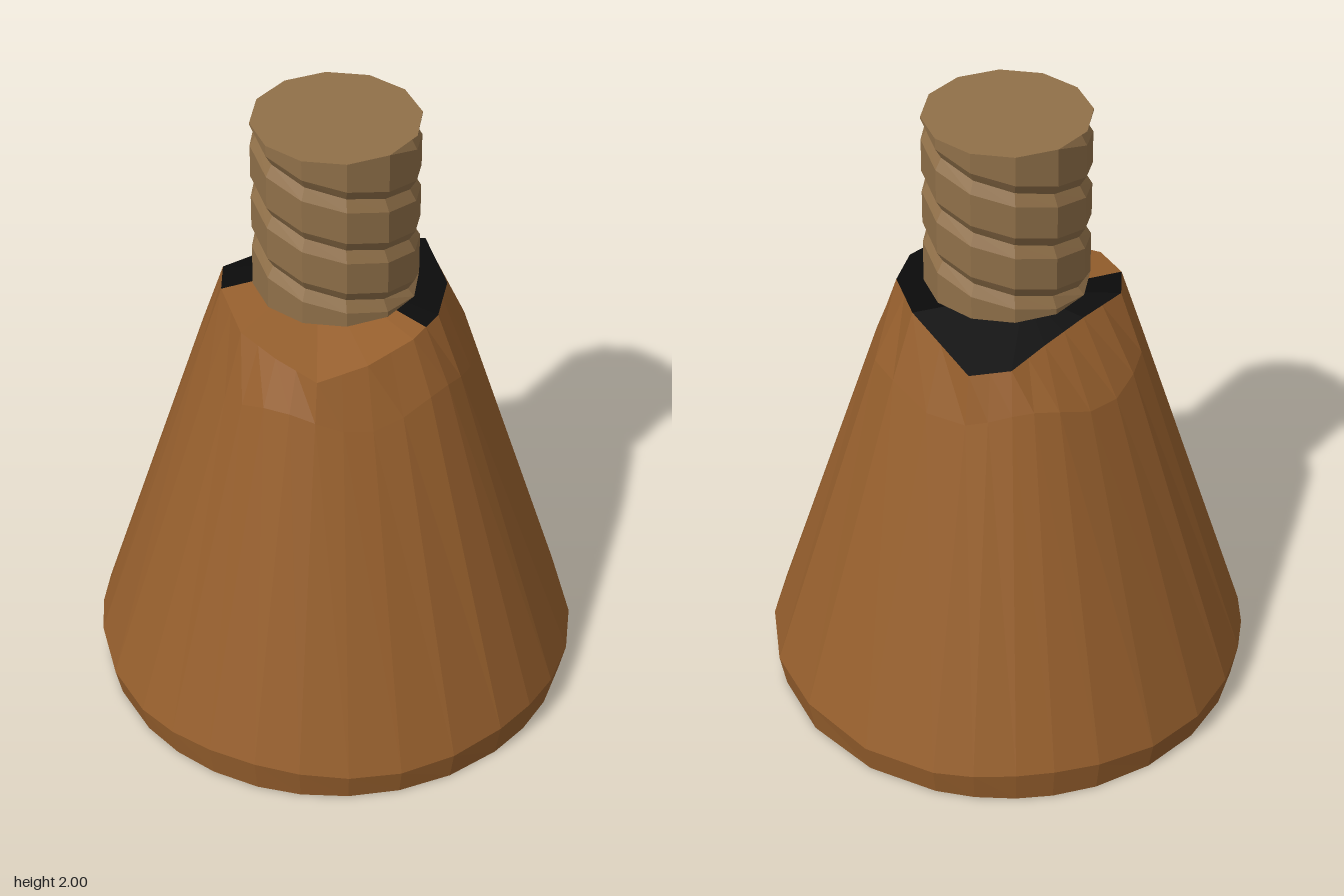
import * as THREE from 'three';

const flat = (name, color) => {
  const m = new THREE.MeshStandardMaterial({ color, flatShading: true });
  m.name = name;
  return m;
};

// Surface through rows of points; faces along (row direction) x (column direction)
function grid(rows) {
  const pos = [];
  const push = (...pts) => pts.forEach((p) => pos.push(p.x, p.y, p.z));
  for (let i = 0; i < rows.length - 1; i++) {
    for (let j = 0; j < rows[i].length - 1; j++) {
      const a = rows[i][j], b = rows[i][j + 1], c = rows[i + 1][j + 1], d = rows[i + 1][j];
      push(a, d, c, a, c, b);
    }
  }
  const g = new THREE.BufferGeometry();
  g.setAttribute('position', new THREE.Float32BufferAttribute(pos, 3));
  g.computeVertexNormals();
  return g;
}

const polar = (r, y, a) => new THREE.Vector3(r * Math.cos(a), y, r * Math.sin(a));

// Uneven rim of the cone: x, y, z, running from +x towards +z
const RIM = [
  [0.34, 1.44, 0], [0.265, 1.42, 0.2], [0.15, 1.41, 0.3], [0.03, 1.395, 0.335],
  [-0.13, 1.365, 0.325], [-0.27, 1.33, 0.265], [-0.32, 1.36, 0.13], [-0.35, 1.39, 0],
  [-0.3, 1.43, -0.17], [-0.23, 1.43, -0.26], [-0.08, 1.41, -0.275], [0.07, 1.38, -0.29],
  [0.2, 1.35, -0.305], [0.3, 1.33, -0.23],
].map((p) => new THREE.Vector3(...p));

export function createModel() {
  const model = new THREE.Group();
  const brown = flat('warmBrown', 0x965f2d);
  const tan = flat('tan', 0x907049);
  const black = flat('black', 0x0b0b0b);
  const add = (name, geometry, material) => {
    const mesh = new THREE.Mesh(geometry, material);
    mesh.name = name;
    model.add(mesh);
  };

  // Rim with a midpoint on every edge, closed by repeating the first point
  const rim = [];
  RIM.forEach((p, i) => {
    rim.push(p, p.clone().lerp(RIM[(i + 1) % RIM.length], 0.5));
  });
  rim.push(rim[0]);
  const angles = rim.map((p) => Math.atan2(p.z, p.x));
  const ring = (r, y, wobble = 0) =>
    angles.map((a) => polar(r, y + wobble * Math.sin(5 * a + 1), a));

  // Cone body with a small bevel at the foot
  const foot = ring(0.745, 0);
  add('coneBody', grid([foot, ring(0.765, 0.105, 0.012), ring(0.415, 1.2, 0.03), rim]), brown);

  // Underside: brown border around a dark disc
  const inner = ring(0.5, 0);
  add('baseRing', grid([inner, foot]), brown);
  add('baseDisc', grid([ring(0, 0), inner]), black);

  // Slanted top, folded along a ridge; part dark, part brown
  const peak = rim.map(() => new THREE.Vector3(0, 1.432, -0.09));
  const cap = (from, to) => grid([rim.slice(from, to + 1), peak.slice(from, to + 1)]);
  add('topDarkFront', cap(0, 5), black);
  add('topBrown', cap(5, 16), brown);
  add('topDarkBack', cap(16, 28), black);

  // Stem with a shallow two-start thread
  const R = 0.25, Y0 = 1.44, Y1 = 2, PITCH = 0.175, SIDES = 12;
  const stemRow = (offset, r) => Array.from({ length: SIDES + 1 }, (_, c) => {
    const a = (c / SIDES) * Math.PI * 2;
    const y = 1.58 + offset + (PITCH * c * 2) / SIDES;
    return y <= Y0 || y >= Y1 ? polar(R, THREE.MathUtils.clamp(y, Y0, Y1), a) : polar(r, y, a);
  });
  const rows = [];
  for (let k = -4; k <= 4; k++) {
    rows.push(
      stemRow(k * PITCH - 0.035, R),
      stemRow(k * PITCH, 0.23),
      stemRow(k * PITCH + 0.035, R),
    );
  }
  add('stemThread', grid(rows), tan);

  // Stem ends
  const circle = (r, y) => Array.from({ length: SIDES + 1 }, (_, c) =>
    polar(r, y, (c / SIDES) * Math.PI * 2));
  add('stemTop', grid([circle(R, Y1), circle(0, Y1)]), tan);
  add('stemBottom', grid([circle(0, Y0), circle(R, Y0)]), tan);

  return model;
}
